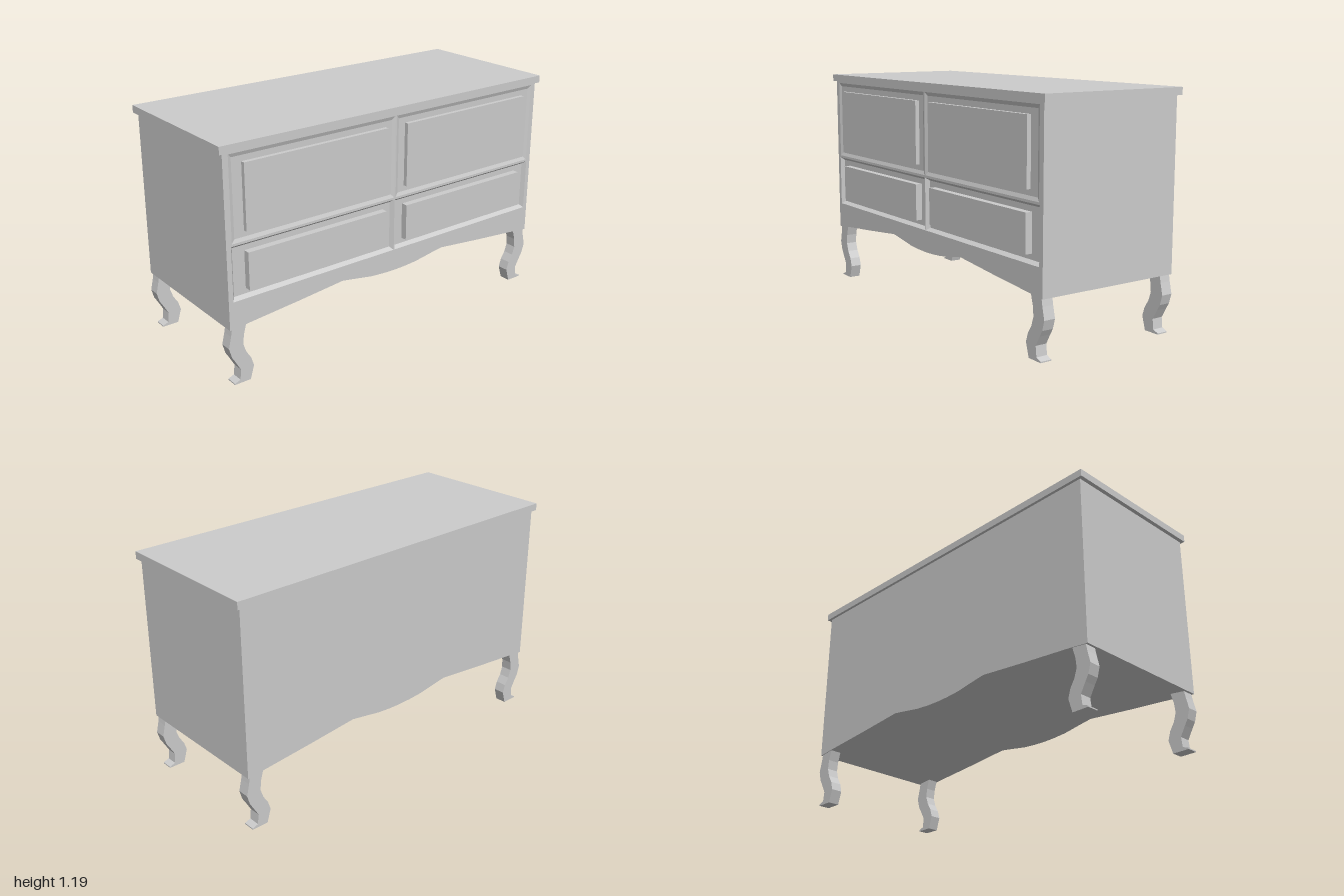
import * as THREE from 'three';

const material = new THREE.MeshStandardMaterial({ color: 0xcccccc, flatShading: true });
const FRONT = 0.395, BACK = -0.39, LAYER = 0.025;

function addMesh(group, name, geometry) {
  const mesh = new THREE.Mesh(geometry, material);
  mesh.name = name;
  group.add(mesh);
  return mesh;
}

function addBox(group, name, [x0, x1], [y0, y1], [z0, z1]) {
  const mesh = addMesh(group, name, new THREE.BoxGeometry(x1 - x0, y1 - y0, z1 - z0));
  mesh.position.set((x0 + x1) / 2, (y0 + y1) / 2, (z0 + z1) / 2);
}

function extrude(shape, z0, z1) {
  return new THREE.ExtrudeGeometry(shape, { depth: z1 - z0, bevelEnabled: false }).translate(0, 0, z0);
}

const corners = ([x0, x1], [y0, y1]) => [[x0, y0], [x1, y0], [x1, y1], [x0, y1]];
const toPoints = list => list.map(([x, y]) => new THREE.Vector2(x, y));

// Cabinet outline with the scalloped lower edge
function cabinetShape() {
  const edge = [[0.98, 0.295], [0.965, 0.295], [0.89, 0.304], [0.6, 0.33], [0.33, 0.357],
    [0.27, 0.348], [0.15, 0.328], [0.07, 0.322]];
  const mirrored = edge.map(([x, y]) => [-x, y]).reverse();
  return new THREE.Shape(toPoints([[0.98, 1.155], ...edge, [0, 0.32], ...mirrored, [-0.98, 1.155]]));
}

// Sunken field: four sloping sides and a flat floor
function recessGeometry(xs, ys, bevel, depth) {
  const outer = corners(xs, ys).map(([x, y]) => [x, y, FRONT]);
  const inner = corners([xs[0] + bevel, xs[1] - bevel], [ys[0] + bevel, ys[1] - bevel])
    .map(([x, y]) => [x, y, FRONT - depth]);
  const positions = [];
  const quad = (a, b, c, d) => positions.push(...a, ...b, ...c, ...a, ...c, ...d);
  for (let i = 0; i < 4; i++) {
    const j = (i + 1) % 4;
    quad(outer[i], outer[j], inner[j], inner[i]);
  }
  quad(...inner);
  const geometry = new THREE.BufferGeometry();
  geometry.setAttribute('position', new THREE.Float32BufferAttribute(positions, 3));
  geometry.computeVertexNormals();
  return geometry;
}

// S-curved leg outline; side is +1 or -1
function legShape(side) {
  const profile = [[0.965, 0.31], [0.974, 0.26], [0.988, 0.2], [0.974, 0.15], [0.956, 0.12],
    [0.928, 0.07], [0.934, 0.018], [0.965, 0.006], [0.965, 0], [0.877, 0],
    [0.856, 0.07], [0.87, 0.115], [0.895, 0.155], [0.91, 0.2], [0.905, 0.25], [0.888, 0.31]];
  return new THREE.Shape(toPoints(profile.map(([x, y]) => [x * side, y])));
}

export function createModel() {
  const model = new THREE.Group();
  model.name = 'chestOfDrawers';

  addBox(model, 'top', [-1, 1], [1.155, 1.193], [-0.405, 0.408]);
  addMesh(model, 'cabinet', extrude(cabinetShape(), BACK, FRONT - LAYER));

  // Drawer rows: recess extents and raised panel extents on the left half
  const rows = [
    { name: 'upper', x: [0.004, 0.95], y: [0.722, 1.145], bevel: 0.018, depth: 0.007,
      panelX: [0.062, 0.88], panelY: [0.77, 1.098] },
    { name: 'lower', x: [0.002, 0.955], y: [0.435, 0.71], bevel: 0.015, depth: 0.02,
      panelX: [0.065, 0.875], panelY: [0.478, 0.667] },
  ];
  const frame = cabinetShape();
  const mirror = ([a, b], side) => (side > 0 ? [a, b] : [-b, -a]);

  for (const row of rows) {
    for (const side of [1, -1]) {
      const label = row.name + (side > 0 ? 'Left' : 'Right');
      const xs = mirror(row.x, side);
      frame.holes.push(new THREE.Path(toPoints(corners(xs, row.y).reverse())));
      addMesh(model, label + 'DrawerRecess', recessGeometry(xs, row.y, row.bevel, row.depth));
      addBox(model, label + 'DrawerPanel', mirror(row.panelX, side), row.panelY, [FRONT - LAYER, 0.41]);
    }
  }
  addMesh(model, 'frontFrame', extrude(frame, FRONT - LAYER, FRONT));

  // Four legs
  for (const side of [1, -1]) {
    const label = side > 0 ? 'Left' : 'Right';
    addMesh(model, 'front' + label + 'Leg', extrude(legShape(side), 0.33, 0.39));
    addMesh(model, 'back' + label + 'Leg', extrude(legShape(side), -0.386, -0.325));
  }
  return model;
}
